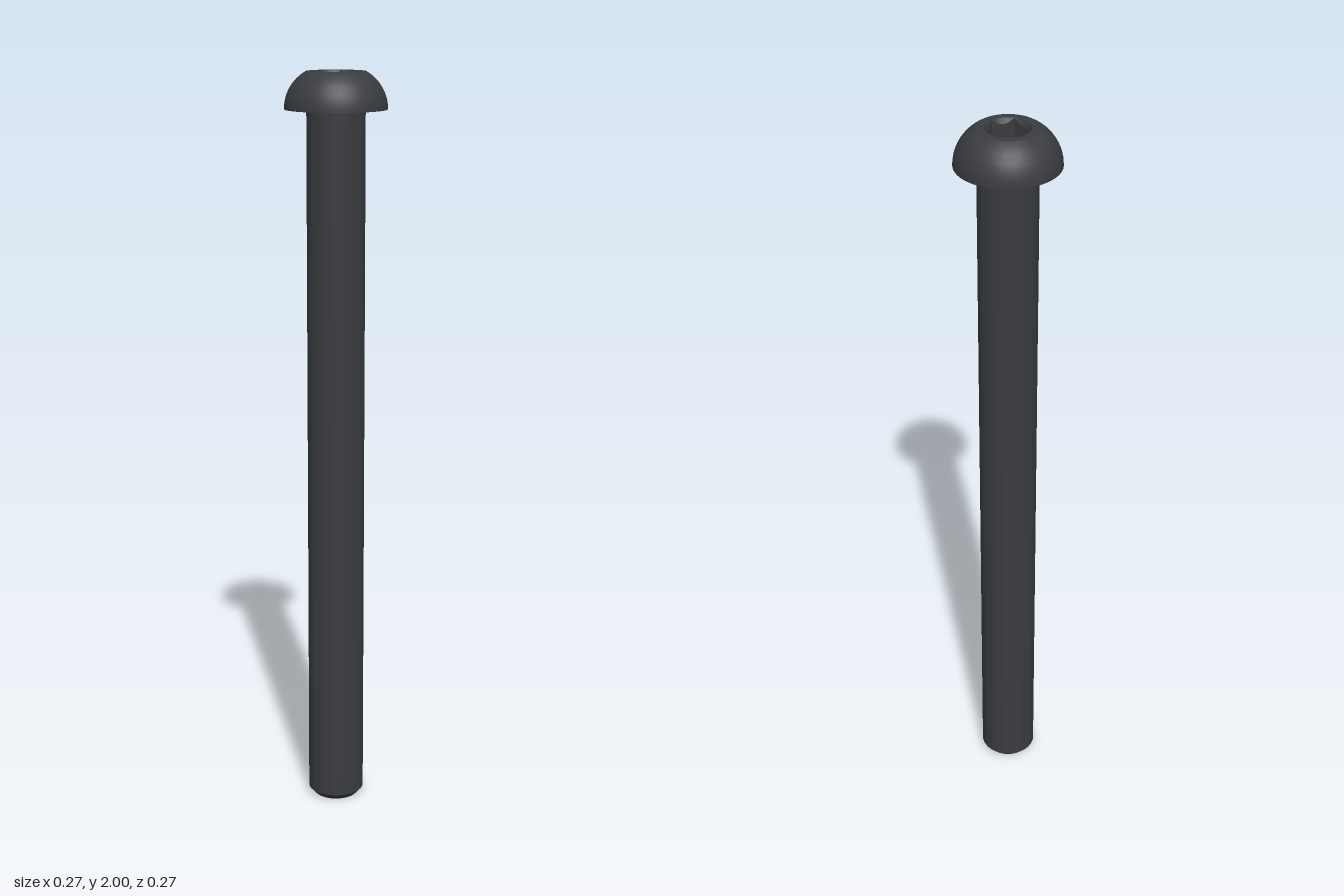
import * as THREE from 'three';
import { toCreasedNormals } from 'three/addons/utils/BufferGeometryUtils.js';

const SEGMENTS = 60;
const SHANK_R = 0.076, HEAD_R = 0.133, HEAD_Y = 1.905, TOP_Y = 2;
const TOP_R = 0.077, SOCKET_R = 0.057, FLOOR_Y = 1.945;

const material = new THREE.MeshStandardMaterial({ color: 0x3a3c40 });

function lathe(points) {
  return new THREE.LatheGeometry(points.map(([r, y]) => new THREE.Vector2(r, y)), SEGMENTS);
}

function part(name, geometry) {
  const mesh = new THREE.Mesh(toCreasedNormals(geometry, 0.5), material);
  mesh.name = name;
  return mesh;
}

// Distance from the axis to a hexagon with corners on the x axis
function hexRadius(x, z) {
  const sector = Math.PI / 3;
  const a = (Math.atan2(z, x) + 2 * Math.PI + 1e-9) % sector;
  return SOCKET_R * Math.cos(sector / 2) / Math.cos(a - sector / 2);
}

// Straight rod with a chamfered tip
function shank() {
  return part('shank', lathe([[0, 0], [0.06, 0], [SHANK_R, 0.018], [SHANK_R, HEAD_Y]]));
}

// Domed head: flat underside, circular arc, flat rim round the socket
function head() {
  const d = HEAD_R - TOP_R, h = TOP_Y - HEAD_Y;
  const R = (d * d + h * h) / (2 * d);
  const end = Math.asin(h / R);
  const points = [[SHANK_R, HEAD_Y]];
  for (let i = 0; i <= 12; i++) {
    const a = end * i / 12;
    points.push([HEAD_R - R + R * Math.cos(a), HEAD_Y + R * Math.sin(a)]);
  }
  points.push([SOCKET_R, TOP_Y]);
  return part('head', lathe(points));
}

// Round countersink running into a hexagonal recess
function socket() {
  const geometry = lathe([[SOCKET_R, TOP_Y], [SOCKET_R, 1.98], [SOCKET_R, FLOOR_Y], [0, FLOOR_Y]]);
  const p = geometry.attributes.position;
  for (let i = 0; i < p.count; i++) {
    const x = p.getX(i), y = p.getY(i), z = p.getZ(i);
    if (y > TOP_Y - 0.001 || Math.hypot(x, z) < 0.001) continue;
    const r = hexRadius(x, z), s = r / SOCKET_R;
    const newY = y > FLOOR_Y + 0.001 ? TOP_Y - (SOCKET_R - r) * 1.7 : y;
    p.setXYZ(i, x * s, newY, z * s);
  }
  return part('hexSocket', geometry);
}

export function createModel() {
  const group = new THREE.Group();
  group.name = 'buttonHeadBolt';
  group.add(shank(), head(), socket());
  return group;
}
